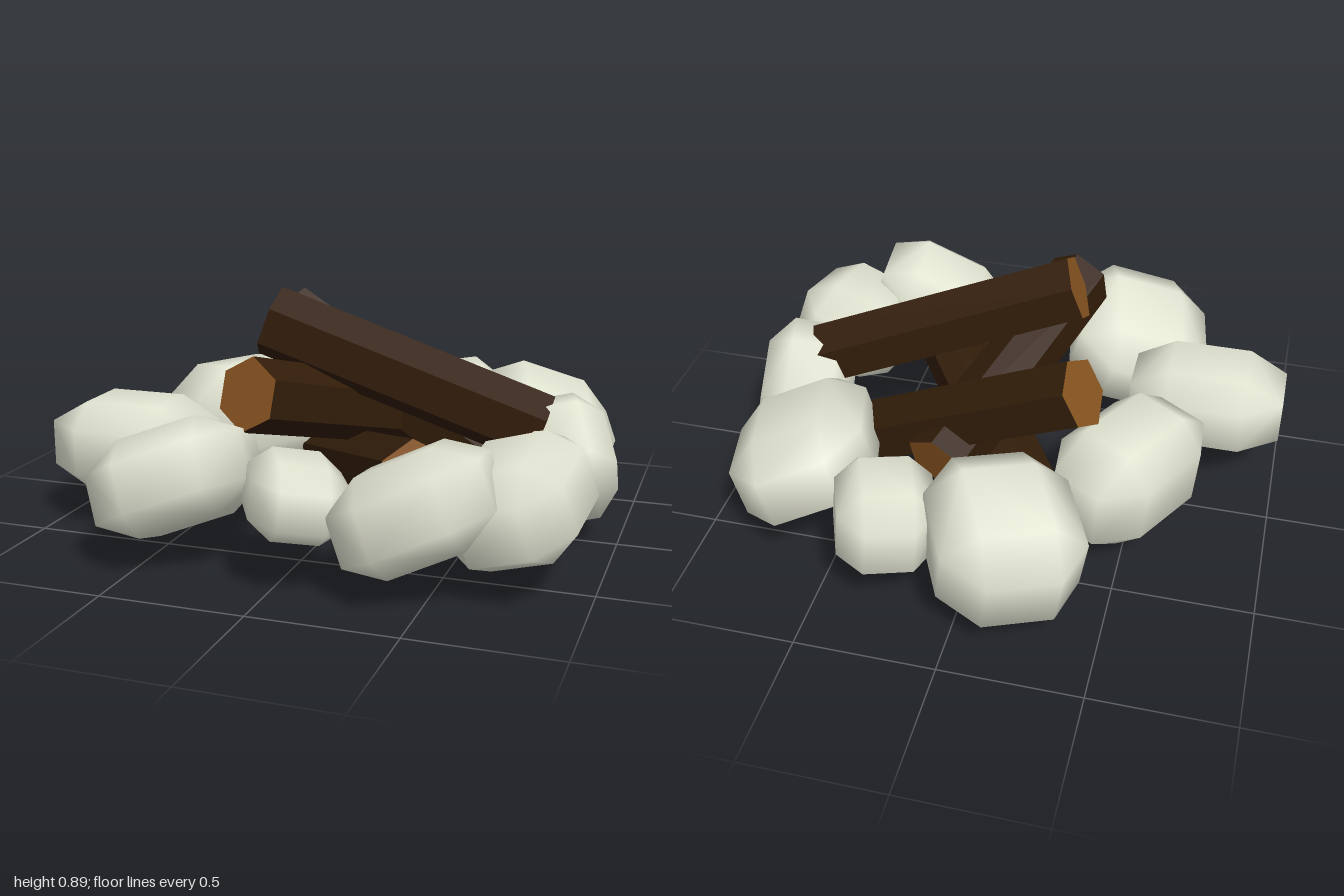
import * as THREE from 'three';
import { mergeVertices } from 'three/addons/utils/BufferGeometryUtils.js';
import { ConvexGeometry } from 'three/addons/geometries/ConvexGeometry.js';

const stoneMat = new THREE.MeshStandardMaterial({ color: 0xe2e4d2 });
const barkMat = new THREE.MeshStandardMaterial({ color: 0x321d09, flatShading: true });
const cutMat = new THREE.MeshStandardMaterial({ color: 0x885420, flatShading: true });

// Corner points of a box with broad chamfers on every edge
function chamferPoints() {
  const pts = [];
  for (const x of [-1, 1]) for (const y of [-1, 1]) for (const z of [-1, 1]) {
    pts.push(new THREE.Vector3(x, y / 2, z / 2));
    pts.push(new THREE.Vector3(x / 2, y, z / 2));
    pts.push(new THREE.Vector3(x / 2, y / 2, z));
  }
  return pts;
}

// Smooth stone: half sizes and tilt, then fitted between two corners
function makeStone({ min, max, half, rot }) {
  let geo = new ConvexGeometry(chamferPoints());
  geo.deleteAttribute('normal');
  geo = mergeVertices(geo, 1e-4);
  geo.scale(...half);
  geo.applyMatrix4(new THREE.Matrix4().makeRotationFromEuler(new THREE.Euler(...rot, 'YXZ')));
  geo.center();
  geo.computeBoundingBox();
  const size = geo.boundingBox.getSize(new THREE.Vector3());
  const lo = new THREE.Vector3(...min), hi = new THREE.Vector3(...max);
  const want = hi.clone().sub(lo).divide(size);
  geo.scale(want.x, want.y, want.z);
  geo.computeVertexNormals();
  const mesh = new THREE.Mesh(geo, stoneMat);
  mesh.position.copy(lo).add(hi).multiplyScalar(0.5);
  return mesh;
}

// Six-sided log between two end centres, one ridge facing up
function makeLog(from, to) {
  const a = new THREE.Vector3(...from), b = new THREE.Vector3(...to);
  const geo = new THREE.CylinderGeometry(0.128, 0.128, a.distanceTo(b), 6);
  geo.rotateX(Math.PI / 2);
  const mesh = new THREE.Mesh(geo, [barkMat, cutMat, cutMat]);
  mesh.position.copy(a).add(b).multiplyScalar(0.5);
  mesh.lookAt(b);
  return mesh;
}

export function createModel() {
  const model = new THREE.Group();
  model.name = 'campfire';

  // Ring of stones
  const ring = new THREE.Group();
  ring.name = 'stoneRing';
  const stones = [
    { min: [-1, 0.14, 0.09], max: [-0.43, 0.47, 0.5], half: [0.285, 0.17, 0.21], rot: [0, 0, 0] },
    { min: [-0.69, 0.06, 0.33], max: [-0.1, 0.54, 0.93], half: [0.29, 0.16, 0.28], rot: [-0.28, 0.2, 0.3] },
    { min: [-0.14, 0.16, 0.47], max: [0.245, 0.44, 0.9], half: [0.17, 0.13, 0.21], rot: [0, 0.5, -0.15] },
    { min: [0.19, 0.08, 0.47], max: [0.73, 0.53, 0.93], half: [0.27, 0.16, 0.22], rot: [-0.12, 0.05, 0.4] },
    { min: [0.5, 0.08, 0.2], max: [0.98, 0.51, 0.78], half: [0.22, 0.17, 0.27], rot: [0.18, -0.1, 0.3] },
    { min: [0.6, 0.07, -0.2], max: [1, 0.54, 0.25], half: [0.17, 0.2, 0.23], rot: [-0.72, 0.05, 0.3] },
    { min: [0.37, 0.08, -0.69], max: [0.94, 0.54, -0.05], half: [0.27, 0.18, 0.3], rot: [0.12, 0.28, -0.3] },
    { min: [0.08, 0.13, -0.85], max: [0.48, 0.48, -0.4], half: [0.18, 0.17, 0.21], rot: [0, 0.4, 0.1] },
    { min: [-0.44, 0.05, -0.94], max: [0.16, 0.56, -0.35], half: [0.25, 0.22, 0.28], rot: [-0.25, 0.45, 0.05] },
    { min: [-0.74, 0.09, -0.5], max: [-0.24, 0.53, 0.1], half: [0.19, 0.19, 0.3], rot: [0, -0.5, 0.1] },
  ];
  stones.forEach((s, i) => {
    const stone = makeStone(s);
    stone.name = `stone${i + 1}`;
    ring.add(stone);
  });
  model.add(ring);

  // Stacked firewood
  const wood = new THREE.Group();
  wood.name = 'firewood';
  const logs = [
    [[-0.335, 0.695, -0.3], [0.57, 0.2, -0.12]],
    [[-0.215, 0.773, 0.215], [0.73, 0.42, 0.075]],
    [[-0.16, 0.59, 0.565], [0.165, 0.33, -0.36]],
    [[-0.175, 0.13, -0.3], [0.4, 0.34, 0.5]],
  ];
  logs.forEach(([a, b], i) => {
    const log = makeLog(a, b);
    log.name = `log${i + 1}`;
    wood.add(log);
  });
  model.add(wood);

  return model;
}
